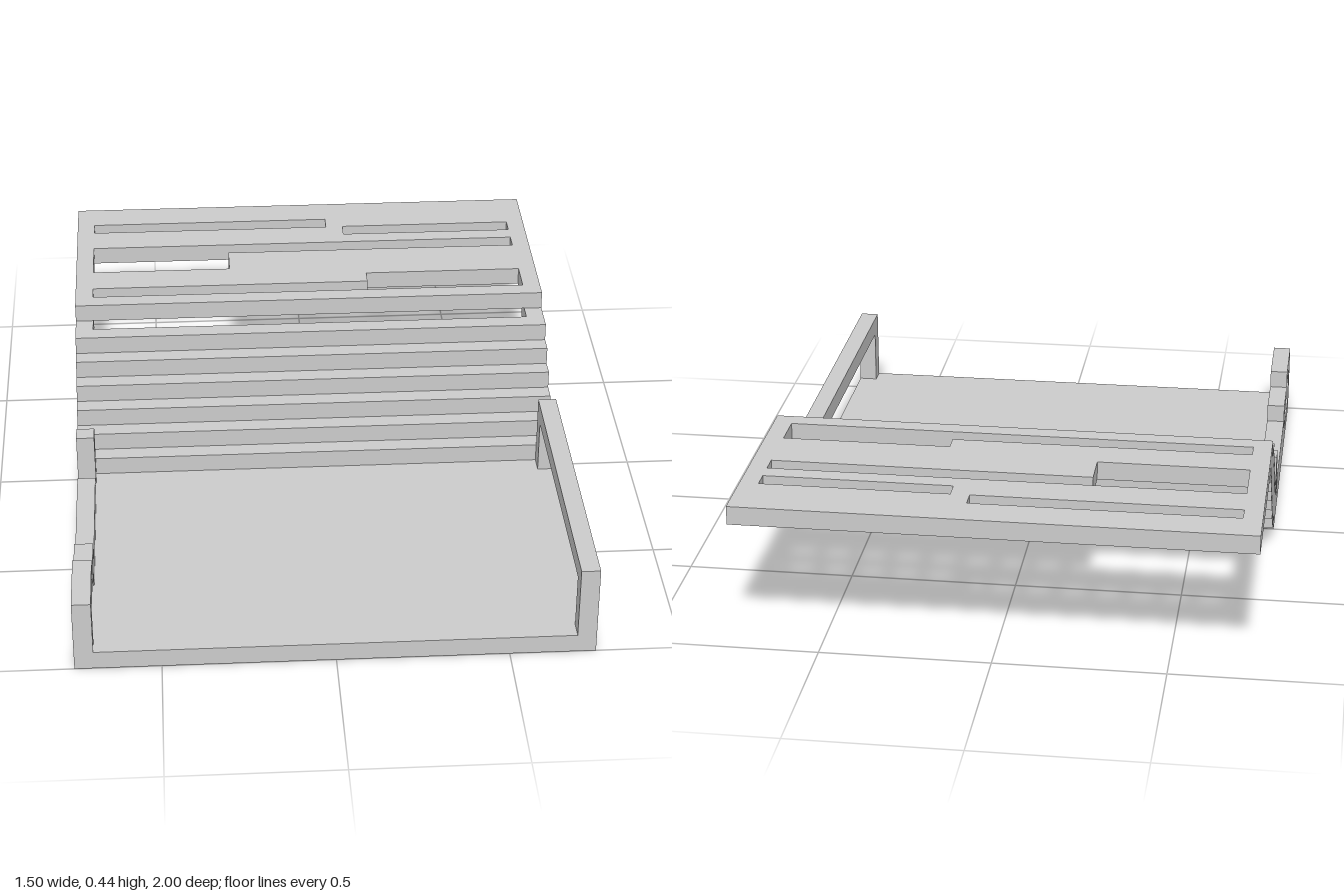
import * as THREE from 'three';

// Everything sits on a cubic grid: 36 cells long, 27 wide, 8 high
const U = 2 / 36;
const HALF = 13.5; // half width in cells
const INNER = 12.5; // half width between the one-cell side strips
const STEPS = 6;

const material = new THREE.MeshStandardMaterial({ color: 0xcccccc, flatShading: true });

function add(parent, name, geometry) {
  const mesh = new THREE.Mesh(geometry, material);
  mesh.name = name;
  parent.add(mesh);
}

// Box from its limits in cells
function box(x0, x1, y0, y1, z0, z1) {
  return new THREE.BoxGeometry(x1 - x0, y1 - y0, z1 - z0)
    .translate((x0 + x1) / 2, (y0 + y1) / 2, (z0 + z1) / 2);
}

const toPoints = (list) => list.map(([a, b]) => new THREE.Vector2(a, b));

// One-cell-thick side strip from a (z, y) outline, ending at xMax
function sideStrip(outline, xMax) {
  return new THREE.ExtrudeGeometry(new THREE.Shape(toPoints(outline)), { depth: 1, bevelEnabled: false })
    .rotateY(-Math.PI / 2).translate(xMax, 0, 0);
}

// One-cell-thick horizontal plate from an (x, z) outline and holes;
// reversing the mirrored points keeps the loops counter-clockwise
function plate(outline, holes, y) {
  const flip = (list) => toPoints(list.map(([x, z]) => [x, -z])).reverse();
  const shape = new THREE.Shape(flip(outline));
  shape.holes = holes.map((h) => new THREE.Path(flip(h)));
  return new THREE.ExtrudeGeometry(shape, { depth: 1, bevelEnabled: false })
    .rotateX(-Math.PI / 2).translate(0, y, 0);
}

const rect = (x0, x1, z0, z1) => [[x0, z0], [x1, z0], [x1, z1], [x0, z1]];

export function createModel() {
  const model = new THREE.Group();
  model.name = 'steppedPlatform';

  add(model, 'base', box(-HALF, HALF, 0, 1, 0, 18));

  // Left side: an unbroken handrail on two posts
  add(model, 'leftRail', sideStrip(
    [[1, 1], [2, 1], [2, 4], [17, 4], [17, 1], [18, 1], [18, 5], [1, 5]], HALF));

  // Right side: a rail stepping down from the front post, and a lone rear post
  const rightRail = new THREE.Group();
  rightRail.name = 'rightRail';
  add(rightRail, 'frontPost', box(-HALF, -INNER, 1, 4, 17, 18));
  add(rightRail, 'upperRail', box(-HALF, -INNER, 3, 4, 14, 17));
  add(rightRail, 'middleRail', box(-HALF, -INNER, 2, 3, 11, 14));
  add(rightRail, 'lowerRail', box(-HALF, -INNER, 1, 2, 3, 12));
  add(rightRail, 'rearPost', box(-HALF, -INNER, 1, 4, 1, 2));
  model.add(rightRail);

  // Stairs: one-cell treads between two thicker stepped stringers
  const stairs = new THREE.Group();
  stairs.name = 'stairs';
  const front = [];
  const back = [];
  for (let k = 1; k <= STEPS; k++) {
    add(stairs, 'tread', box(-INNER, INNER, k, k + 1, 1 - k, 2 - k));
    front.push([2 - k, k], [2 - k, k + 1]);
    back.push([-1 - k, k], [-1 - k, k + 1]);
  }
  const stringer = [...front, ...back.reverse()];
  add(stairs, 'leftStringer', sideStrip(stringer, HALF));
  add(stairs, 'rightStringer', sideStrip(stringer, -INNER));
  model.add(stairs);

  // Upper deck with its long slots
  add(model, 'upperDeck', plate(rect(-HALF, HALF, -18, -6), [
    rect(-INNER, 1.5, -16, -15),
    rect(2.5, INNER, -15, -14),
    [[-INNER, -13], [INNER, -13], [INNER, -12], [-4.5, -12], [-4.5, -10], [-INNER, -10]],
    [[3.5, -9], [INNER, -9], [INNER, -7], [-INNER, -7], [-INNER, -8], [3.5, -8]],
  ], 7));

  model.scale.setScalar(U);
  return model;
}
